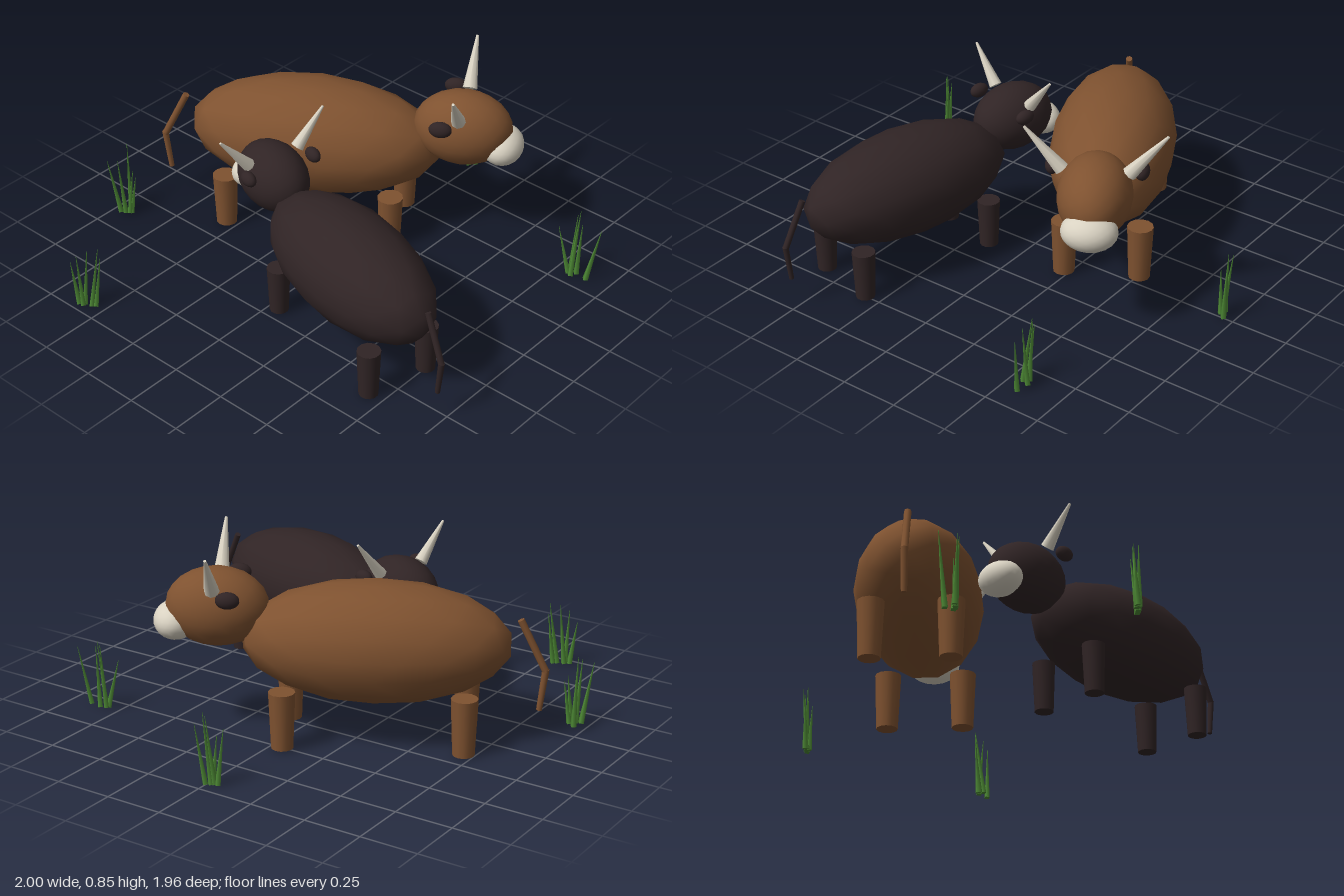
import * as THREE from 'three';

const mat = (name, color) => {
  const m = new THREE.MeshStandardMaterial({ color });
  m.name = name;
  return m;
};

function add(parent, name, geometry, material) {
  const mesh = new THREE.Mesh(geometry, material);
  mesh.name = name;
  parent.add(mesh);
  return mesh;
}

// Ellipsoid with radii r centred on c
function ellipsoid(r, c, detail = 2) {
  return new THREE.IcosahedronGeometry(1, detail)
    .rotateY(Math.PI / 2).scale(...r).translate(...c);
}

// Tapered rod from point a to point b
function rod(a, b, ra, rb, sides) {
  const from = new THREE.Vector3(...a), to = new THREE.Vector3(...b);
  const dir = to.clone().sub(from);
  const g = new THREE.CylinderGeometry(rb, ra, dir.length(), sides);
  g.applyQuaternion(new THREE.Quaternion().setFromUnitVectors(
    new THREE.Vector3(0, 1, 0), dir.clone().normalize()));
  const mid = from.add(to).multiplyScalar(0.5);
  return g.translate(mid.x, mid.y, mid.z);
}

// One animal, heading along its local +x
function createCow(name, coat, dark, cream) {
  const cow = new THREE.Group();
  cow.name = name;
  add(cow, 'body', ellipsoid([0.56, 0.257, 0.268], [0, 0.42, 0]), coat);
  add(cow, 'head', ellipsoid([0.215, 0.167, 0.153], [0.65, 0.55, 0], 3), coat);
  add(cow, 'muzzle', ellipsoid([0.093, 0.081, 0.116], [0.822, 0.485, 0], 3), cream);
  for (const side of [-1, 1]) {
    add(cow, 'horn', rod([0.65, 0.66, side * 0.135], [0.65, 0.838, side * 0.285], 0.032, 0.006, 8), cream);
    add(cow, 'ear', ellipsoid([0.05, 0.036, 0.031], [0.582, 0.637, side * 0.18]), dark);
    for (const end of [-1, 1]) {
      const x = end * 0.37, z = side * 0.16;
      add(cow, end > 0 ? 'frontLeg' : 'hindLeg', rod([x, 0, z], [x, 0.245, z], 0.046, 0.056, 12), coat);
    }
  }
  // Tail in two lengths
  add(cow, 'tailUpper', rod([-0.585, 0.53, 0], [-0.692, 0.31, 0], 0.015, 0.015, 8), coat);
  add(cow, 'tailLower', rod([-0.692, 0.32, 0], [-0.67, 0.14, 0], 0.015, 0.012, 8), coat);
  return cow;
}

// Tuft of thin blades: [base x, base z, tip x, tip z, height]
function createTuft(x, z, blades, green) {
  const tuft = new THREE.Group();
  tuft.name = 'grassTuft';
  tuft.position.set(x, 0, z);
  for (const [bx, bz, tx, tz, h] of blades) {
    add(tuft, 'grassBlade', rod([bx, 0, bz], [tx, h, tz], 0.014, 0.001, 4), green);
  }
  return tuft;
}

export function createModel() {
  const brown = mat('brown coat', 0x7f5230);
  const dark = mat('dark coat', 0x302425);
  const cream = mat('cream', 0xd9d2c2);
  const green = mat('grass green', 0x4f8c36);
  const model = new THREE.Group();
  model.name = 'grazingCattle';

  // Large brown animal
  const large = createCow('brownCow', brown, dark, cream);
  large.position.set(-0.305, 0, -0.19);
  large.rotation.y = 0.487;
  model.add(large);

  // Smaller dark animal facing the other way
  const small = createCow('darkCow', dark, dark, cream);
  small.position.set(0.397, 0, 0.38);
  small.rotation.y = Math.PI - 0.25;
  small.scale.setScalar(0.88);
  model.add(small);

  // Grass around the pair
  model.add(createTuft(-0.94, 0.37, [
    [-0.02, 0.02, -0.055, 0.05, 0.27], [-0.01, -0.03, -0.03, -0.05, 0.32],
    [0.0, 0.01, -0.01, 0.03, 0.28], [0.015, 0.0, 0.03, -0.02, 0.22],
    [0.02, -0.01, 0.045, -0.02, 0.19]], green));
  model.add(createTuft(-0.59, 0.95, [
    [-0.02, 0.015, -0.05, 0.02, 0.2], [0.0, 0.01, -0.01, 0.02, 0.25],
    [0.0, 0.0, 0.02, -0.015, 0.28], [0.03, -0.01, 0.06, -0.04, 0.29],
    [0.045, -0.02, 0.06, -0.05, 0.24]], green));
  model.add(createTuft(0.84, -0.575, [
    [-0.03, 0.01, -0.085, 0.02, 0.22], [-0.025, 0.0, -0.02, -0.02, 0.29],
    [0.0, -0.01, 0.02, 0.0, 0.27], [-0.01, 0.02, -0.01, -0.025, 0.31],
    [0.055, 0.0, 0.1, -0.025, 0.26]], green));
  model.add(createTuft(-0.02, -0.945, [
    [-0.025, 0.01, -0.05, 0.02, 0.24], [-0.01, 0.01, 0.0, -0.03, 0.3],
    [0.0, 0.0, 0.02, -0.02, 0.31], [0.02, -0.01, 0.05, -0.035, 0.26],
    [0.0, 0.015, -0.01, 0.03, 0.2]], green));
  return model;
}
